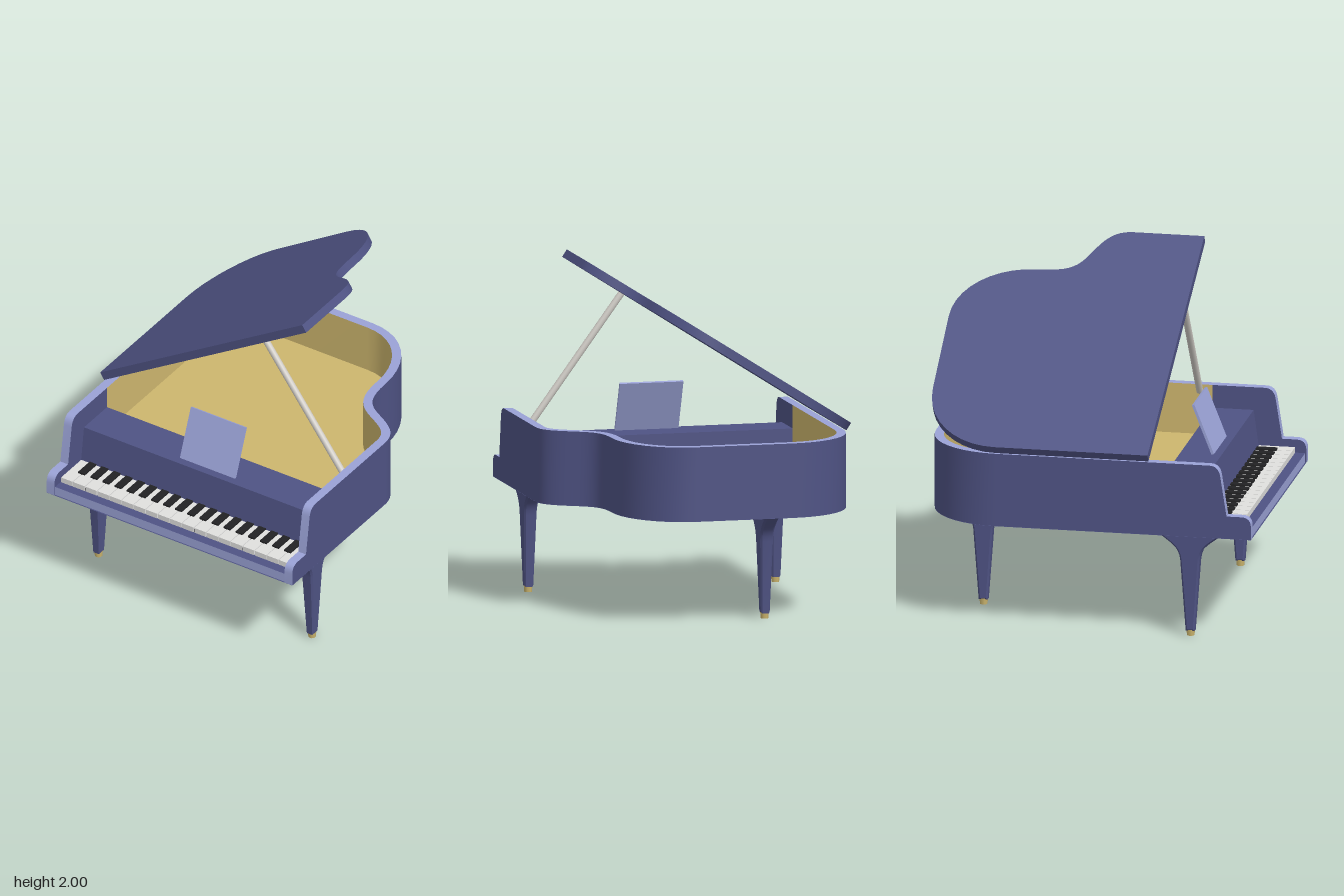
import * as THREE from 'three';
import { toCreasedNormals } from 'three/addons/utils/BufferGeometryUtils.js';

const mat = (name, color, side = THREE.FrontSide) => {
  const m = new THREE.MeshStandardMaterial({ color, side });
  m.name = name;
  return m;
};

export function createModel() {
  const navy = mat('navy', 0x4f5384);
  const pale = mat('paleBlue', 0x9aa2d6);
  const gold = mat('gold', 0xcdb66e);
  const ivory = mat('ivory', 0xe0e0de);
  const black = mat('black', 0x222224);
  const silver = mat('silver', 0xd0ccc6);

  const root = new THREE.Group();
  root.name = 'grandPiano';
  const add = (name, geo, material, parent = root) => {
    const mesh = new THREE.Mesh(geo, material);
    mesh.name = name;
    parent.add(mesh);
    return mesh;
  };
  const box = (w, h, d, x, y, z) => new THREE.BoxGeometry(w, h, d).translate(x, y, z);
  // Side profile in (z, y), extruded leftwards from x1 to x0
  const sideExtrude = (shape, x0, x1) => toCreasedNormals(
    new THREE.ExtrudeGeometry(shape, { depth: x1 - x0, bevelEnabled: false, curveSegments: 6 })
      .rotateY(-Math.PI / 2).translate(x1, 0, 0), 0.6);
  // Flat plan shape in (x, -z) at height y
  const flat = (points, y) => new THREE.ShapeGeometry(new THREE.Shape(points))
    .rotateX(-Math.PI / 2).translate(0, y, 0);

  // Curved plan outline in (x, -z), from front left round the back to front right
  const outline = (zLeft, zRight) => new THREE.Path()
    .moveTo(-0.83, -zLeft)
    .lineTo(-0.83, 0.53)
    .bezierCurveTo(-0.83, 0.77, -0.65, 0.96, -0.41, 0.96)
    .lineTo(0.14, 0.96)
    .bezierCurveTo(0.36, 0.96, 0.53, 0.76, 0.53, 0.5)
    .bezierCurveTo(0.53, 0.3, 0.58, 0.27, 0.69, 0.21)
    .bezierCurveTo(0.8, 0.15, 0.85, 0.1, 0.85, 0)
    .lineTo(0.85, -zRight)
    .getPoints(10);

  // Outline moved inwards by d
  const inset = (pts, d) => pts.map((p, i) => {
    const t = new THREE.Vector2();
    if (i > 0) t.add(p.clone().sub(pts[i - 1]).normalize());
    if (i < pts.length - 1) t.add(pts[i + 1].clone().sub(p).normalize());
    t.normalize();
    return new THREE.Vector2(p.x + t.y * d, p.y - t.x * d);
  });

  // Upright wall following the points
  const wall = (pts, y0, y1) => {
    const pos = [], index = [];
    pts.forEach((p, i) => {
      pos.push(p.x, y0, -p.y, p.x, y1, -p.y);
      const a = i * 2;
      if (i < pts.length - 1) index.push(a, a + 1, a + 2, a + 1, a + 3, a + 2);
    });
    const g = new THREE.BufferGeometry();
    g.setAttribute('position', new THREE.Float32BufferAttribute(pos, 3));
    g.setIndex(index);
    g.computeVertexNormals();
    return g;
  };

  // Case: outer wall, gold lining, pale top edge, soundboard and underside
  const BASE = 0.615, TOP = 1.045, T = 0.053, JOIN = 0.41;
  const outer = outline(JOIN, JOIN);
  const inner = inset(outer, T);
  const innerBack = [...inner].reverse();
  add('caseWall', wall(outer, BASE, TOP), navy);
  add('caseLining', wall(innerBack, 0.7, TOP), gold);
  add('caseTopEdge', flat([...outer, ...innerBack], TOP), pale);
  add('soundboard', flat(inner, 0.75), gold);
  const under = flat(outline(0.957, 0.957), 0).rotateX(Math.PI);
  under.scale(1, 1, -1); // mirrored back so the plan stays put
  const ui = under.index;
  for (let i = 0; i < ui.count; i += 3) {
    const a = ui.getX(i);
    ui.setX(i, ui.getX(i + 1));
    ui.setX(i + 1, a);
  }
  under.translate(0, BASE - 0.001, 0);
  under.computeVertexNormals();
  add('underside', under, mat('navyUnderside', 0x4f5384, THREE.DoubleSide));

  // Arms beside the keyboard
  const arm = new THREE.Shape()
    .moveTo(JOIN, BASE)
    .lineTo(0.957, BASE)
    .lineTo(0.957, 0.69)
    .quadraticCurveTo(0.957, 0.748, 0.9, 0.748)
    .lineTo(0.815, 0.748)
    .lineTo(0.778, 0.985)
    .quadraticCurveTo(0.768, TOP, 0.715, TOP)
    .lineTo(JOIN, TOP);
  add('rightArm', sideExtrude(arm, -0.83, -0.83 + T), [navy, pale]);
  add('leftArm', sideExtrude(arm, 0.85 - T, 0.85), [navy, pale]);

  // Key bed with pale front, and the sloping board behind the keys
  const x0 = -0.83 + T, x1 = 0.85 - T, mid = (x0 + x1) / 2, span = x1 - x0;
  add('keyBed', box(span, 0.055, 0.95 - JOIN, mid, BASE + 0.0275, (0.95 + JOIN) / 2),
    [navy, navy, navy, navy, pale, navy]);
  const board = new THREE.Shape()
    .moveTo(JOIN, 0.66).lineTo(0.685, 0.66).lineTo(0.65, 0.91).lineTo(JOIN, 0.91);
  add('fallboard', sideExtrude(board, x0, x1), navy);

  // Keys
  const keys = new THREE.Group();
  keys.name = 'keyboard';
  root.add(keys);
  const N = 19, step = span / N;
  add('keyGaps', box(span, 0.025, 0.2, mid, 0.675, 0.785), black, keys);
  for (let i = 0; i < N; i++) {
    const x = x0 + (i + 0.5) * step;
    add('whiteKey', box(step - 0.005, 0.037, 0.21, x, 0.6845, 0.787), ivory, keys);
    if (i) add('blackKey', box(0.045, 0.03, 0.12, x - step / 2, 0.698, 0.742), black, keys);
  }

  // Music stand
  const stand = add('musicStand', new THREE.BoxGeometry(0.375, 0.31, 0.015), pale);
  stand.position.set(0.0375, 1.055, 0.5425);
  stand.rotation.x = -0.378;

  // Open lid hinged on the right-hand edge
  const lid = add('lid', toCreasedNormals(
    new THREE.ExtrudeGeometry(new THREE.Shape(outline(0.36, 0.41)), { depth: 0.05, bevelEnabled: false })
      .rotateX(-Math.PI / 2).translate(0.83, 0, 0), 0.6), navy);
  lid.position.set(-0.83, 1.05, 0);
  lid.rotation.z = 0.57;

  // Lid prop
  const a = new THREE.Vector3(0.795, 1.005, 0.337), b = new THREE.Vector3(0.25, 1.75, 0.337);
  const prop = add('lidProp', new THREE.CylinderGeometry(0.02, 0.02, a.distanceTo(b), 12), silver);
  prop.position.copy(a).lerp(b, 0.5);
  prop.quaternion.setFromUnitVectors(new THREE.Vector3(0, 1, 0), b.clone().sub(a).normalize());

  // Legs: bracketed side profile, chamfered and tapered, with gold feet
  const legShape = new THREE.Shape()
    .moveTo(-0.026, 0.03)
    .lineTo(0.026, 0.03)
    .lineTo(0.056, 0.45)
    .bezierCurveTo(0.064, 0.54, 0.12, 0.55, 0.192, BASE)
    .lineTo(-0.192, BASE)
    .bezierCurveTo(-0.12, 0.55, -0.064, 0.54, -0.056, 0.45);
  const legGeo = new THREE.ExtrudeGeometry(legShape, {
    depth: 0.06, bevelThickness: 0.012, bevelSize: 0.01, bevelOffset: -0.01,
    bevelSegments: 1, curveSegments: 8,
  }).rotateY(-Math.PI / 2).translate(0.03, 0, 0);
  const lp = legGeo.attributes.position;
  for (let i = 0; i < lp.count; i++) {
    lp.setX(i, lp.getX(i) * THREE.MathUtils.mapLinear(lp.getY(i), 0.03, BASE, 0.62, 1));
  }
  legGeo.computeVertexNormals();
  const legSmooth = toCreasedNormals(legGeo, 0.4);
  const footGeo = new THREE.CylinderGeometry(0.026, 0.022, 0.045, 8).rotateY(Math.PI / 8).translate(0, 0.0225, 0);
  const legs = [['frontRightLeg', -0.72, 0.585], ['frontLeftLeg', 0.74, 0.585], ['backLeg', -0.32, -0.7]];
  for (const [name, x, z] of legs) {
    const leg = new THREE.Group();
    leg.name = name;
    leg.position.set(x, 0, z);
    root.add(leg);
    add('legPost', legSmooth, navy, leg);
    add('foot', footGeo, gold, leg);
  }
  return root;
}
